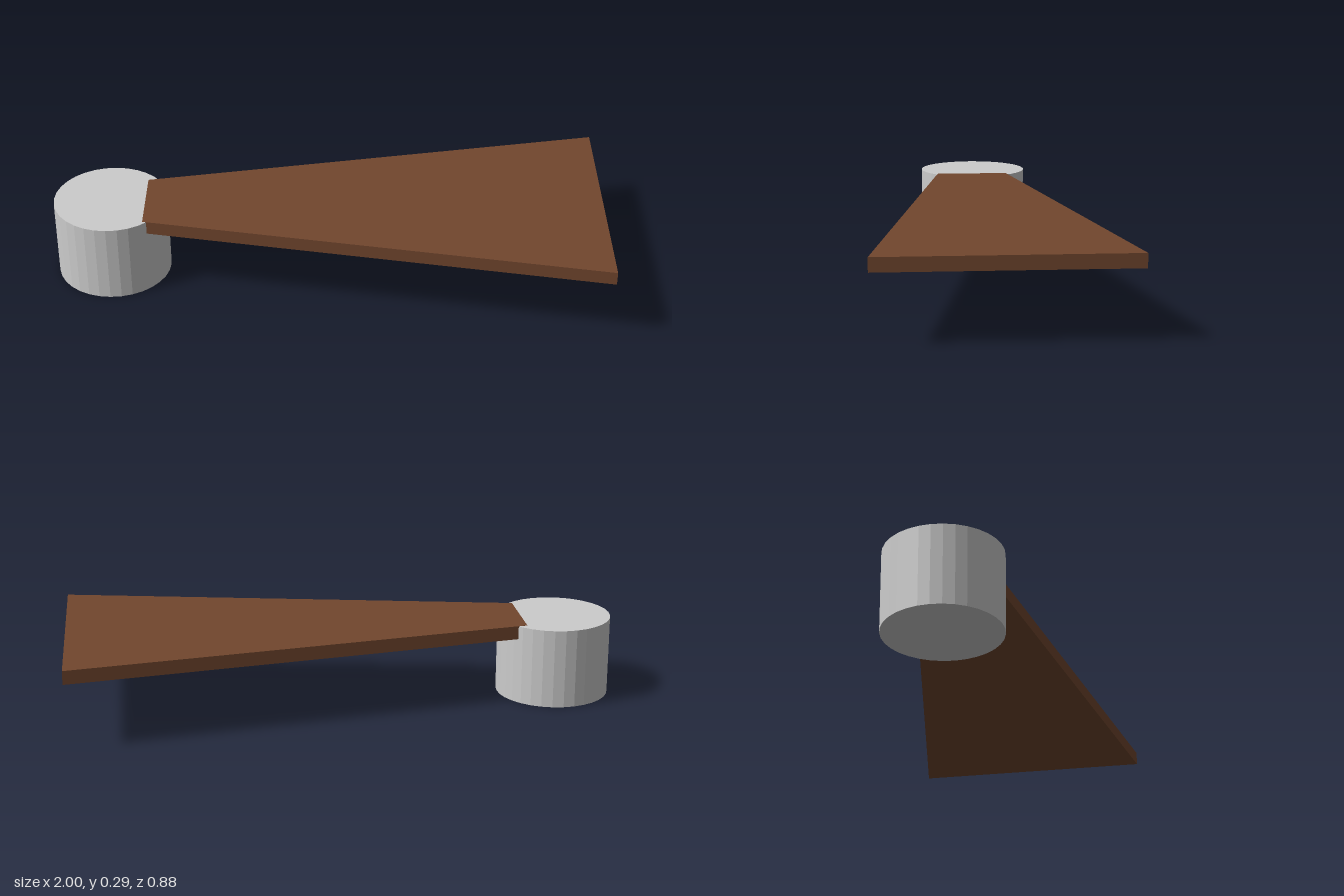
import * as THREE from 'three';

const brown = new THREE.MeshStandardMaterial({ color: 0x72472e });
brown.name = 'brown';
const lightGrey = new THREE.MeshStandardMaterial({ color: 0xcccccc });
lightGrey.name = 'light grey';

export function createModel() {
  const group = new THREE.Group();
  group.name = 'paddle';

  // faceted drum at the narrow end
  const radius = 0.2075, height = 0.292;
  const drumGeometry = new THREE.CylinderGeometry(radius, radius, height, 32).toNonIndexed();
  drumGeometry.computeVertexNormals();
  const drum = new THREE.Mesh(drumGeometry, lightGrey);
  drum.name = 'drum';
  drum.position.set(-1 + radius, height / 2, -0.012);
  group.add(drum);

  // tapered board, its top a hair above the drum so the faces do not coincide
  const outline = new THREE.Shape([
    new THREE.Vector2(-0.666, -0.137),
    new THREE.Vector2(1, -0.442),
    new THREE.Vector2(1, 0.442),
    new THREE.Vector2(-0.666, 0.137),
  ]);
  const boardGeometry = new THREE.ExtrudeGeometry(outline, { depth: 0.0495, bevelEnabled: false });
  boardGeometry.rotateX(-Math.PI / 2);
  const board = new THREE.Mesh(boardGeometry, brown);
  board.name = 'board';
  board.position.y = 0.243;
  group.add(board);

  return group;
}
